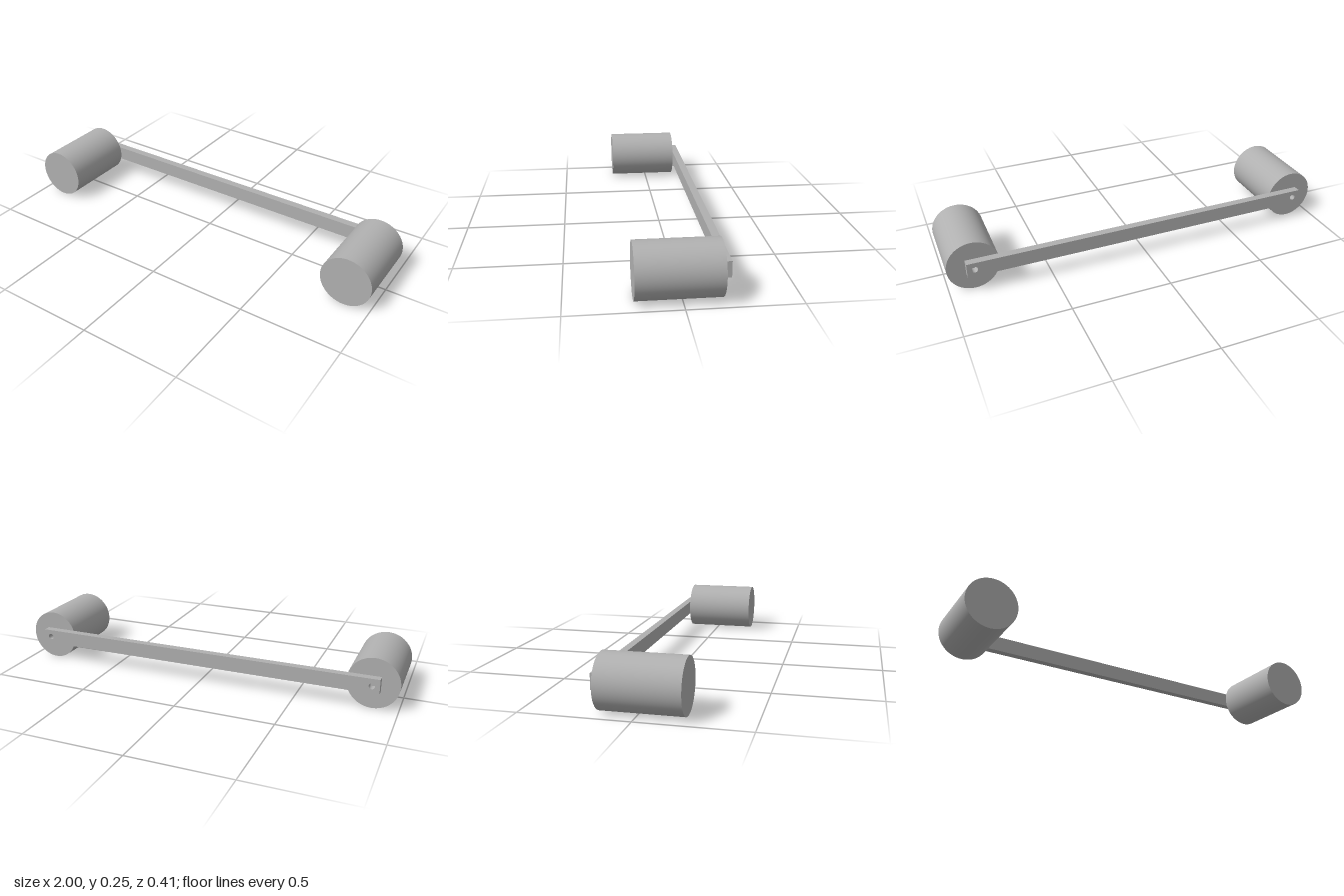
import * as THREE from 'three';

export function createModel() {
  const model = new THREE.Group();
  model.name = 'barHandle';
  const grey = new THREE.MeshStandardMaterial({ color: 0xb0b0b0 });
  grey.name = 'plain grey';

  const radius = 0.127, postX = 1 - radius, midY = radius;
  const backZ = -0.206, seamZ = -0.168, frontZ = 0.206;
  const barHalf = 0.91, barHalfHeight = 0.037, holeRadius = 0.015;

  // Flat connecting bar with a screw hole near each end
  const outline = new THREE.Shape();
  outline.moveTo(-barHalf, -barHalfHeight);
  outline.lineTo(barHalf, -barHalfHeight);
  outline.lineTo(barHalf, barHalfHeight);
  outline.lineTo(-barHalf, barHalfHeight);
  outline.closePath();
  for (const side of [-1, 1]) {
    const hole = new THREE.Path();
    hole.absarc(side * postX, 0, holeRadius, 0, Math.PI * 2, true);
    outline.holes.push(hole);
  }
  const bar = new THREE.Mesh(
    new THREE.ExtrudeGeometry(outline, { depth: seamZ - backZ, bevelEnabled: false, curveSegments: 24 }),
    grey
  );
  bar.name = 'connectingBar';
  bar.position.set(0, midY + 0.001, backZ);
  model.add(bar);

  // Round posts pointing forward from the bar
  const length = frontZ - seamZ;
  const postGeometry = new THREE.CylinderGeometry(radius, radius, length, 72).rotateX(Math.PI / 2);
  for (const [name, side] of [['leftPost', 1], ['rightPost', -1]]) {
    const post = new THREE.Mesh(postGeometry, grey);
    post.name = name;
    post.position.set(side * postX, midY, (frontZ + seamZ) / 2);
    model.add(post);
  }

  return model;
}
